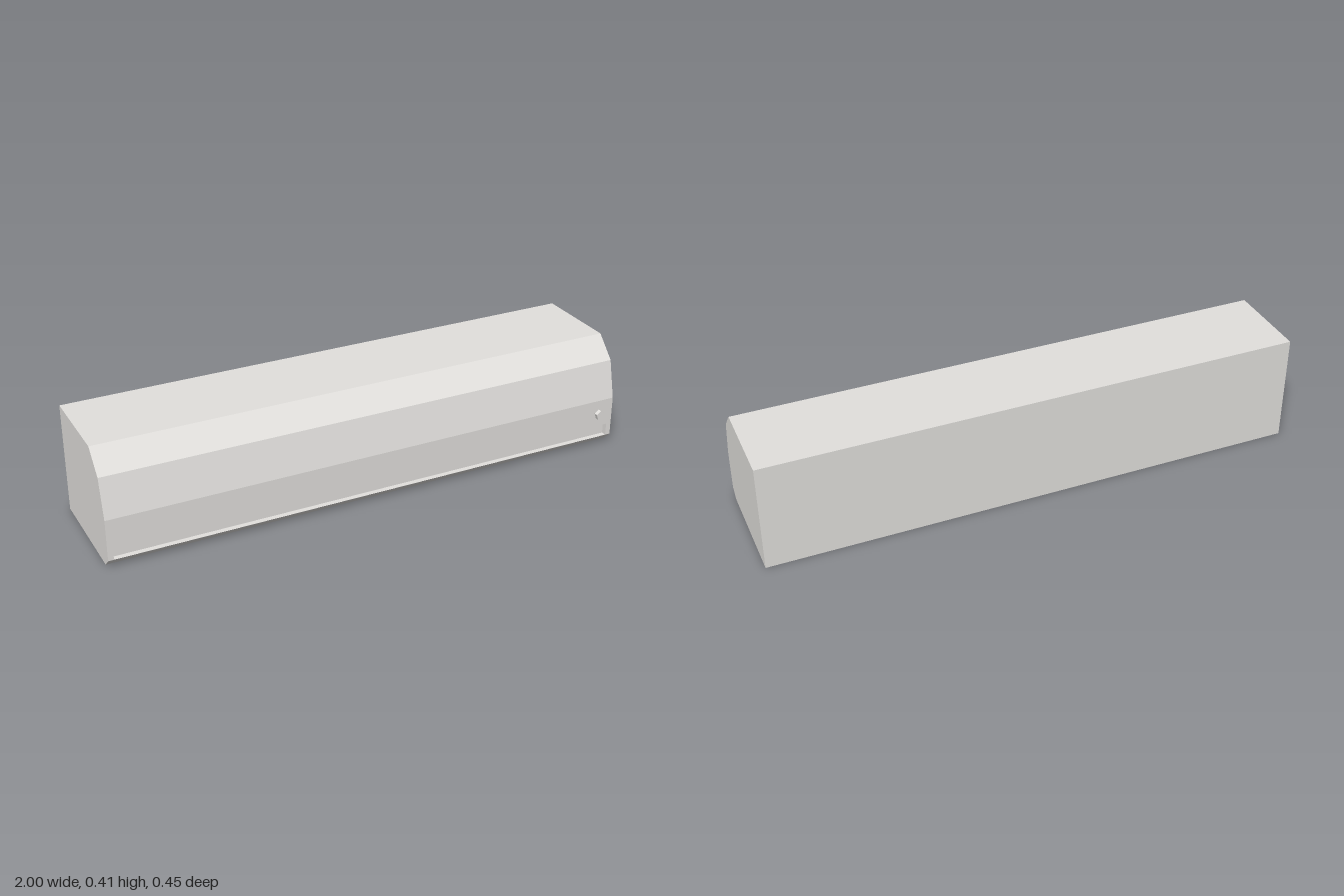
import * as THREE from 'three';

export function createModel() {
  const model = new THREE.Group();
  model.name = 'airConditioner';

  const casing = new THREE.MeshStandardMaterial({ color: 0xe2e0dd, flatShading: true });
  casing.name = 'warm white casing';

  // Side profile as [z, y], counter-clockwise from the lower back corner
  const lower = [[-0.225, 0], [0.178, 0], [0.212, 0.033]];
  const slot = [[0.192, 0.033], [0.192, 0.081], [0.212, 0.081]];
  const upper = [[0.212, 0.187], [0.178, 0.33], [0.102, 0.409], [-0.225, 0.409]];

  // Sweeps a side profile along x between two positions
  function section(name, points, x0, x1) {
    const shape = new THREE.Shape(points.map(([z, y]) => new THREE.Vector2(z, y)));
    const geometry = new THREE.ExtrudeGeometry(shape, { depth: x1 - x0, bevelEnabled: false });
    geometry.rotateY(-Math.PI / 2);
    geometry.translate(x1, 0, 0);
    const mesh = new THREE.Mesh(geometry, casing);
    mesh.name = name;
    model.add(mesh);
  }

  // Long housing with a recessed air outlet, closed by a thin cap at each end
  const slotEnd = 0.98;
  section('housingWithAirOutlet', [...lower, ...slot, ...upper], -slotEnd, slotEnd);
  section('leftEndCap', [...lower, ...upper], slotEnd, 1);
  section('rightEndCap', [...lower, ...upper], -1, -slotEnd);

  // Small five-sided button on the front
  const buttonGeometry = new THREE.CylinderGeometry(0.019, 0.019, 0.02, 5, 1, false, Math.PI);
  buttonGeometry.rotateX(Math.PI / 2);
  const button = new THREE.Mesh(buttonGeometry, casing);
  button.name = 'button';
  button.position.set(0.94, 0.131, 0.217);
  model.add(button);

  return model;
}
